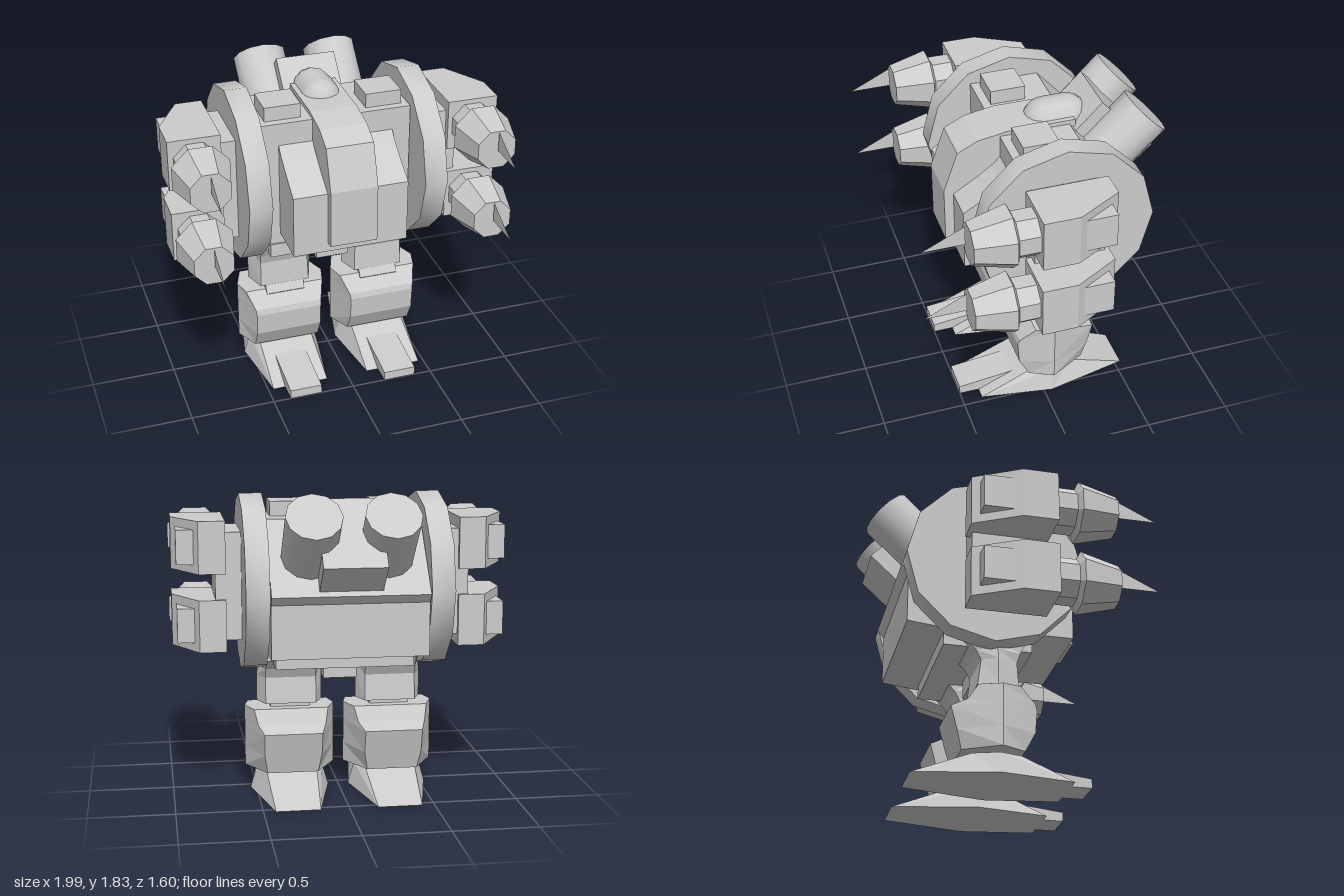
import * as THREE from 'three';
import { toCreasedNormals } from 'three/addons/utils/BufferGeometryUtils.js';

const flat = new THREE.MeshStandardMaterial({ color: 0xcccccc, flatShading: true });
const smooth = new THREE.MeshStandardMaterial({ color: 0xcccccc });
const thin = new THREE.MeshStandardMaterial({ color: 0xcccccc, flatShading: true, side: THREE.DoubleSide });

function add(parent, name, geometry, material = flat) {
  const mesh = new THREE.Mesh(geometry, material);
  mesh.name = name;
  parent.add(mesh);
  return mesh;
}

// Box given by its limits on each axis
function box(x0, x1, y0, y1, z0, z1) {
  return new THREE.BoxGeometry(x1 - x0, y1 - y0, z1 - z0)
    .translate((x0 + x1) / 2, (y0 + y1) / 2, (z0 + z1) / 2);
}

// Side profile of [z, y] points, extruded across x
function prism(profile, halfWidth, cx = 0) {
  const shape = new THREE.Shape(profile.map(([z, y]) => new THREE.Vector2(z, y)));
  return new THREE.ExtrudeGeometry(shape, { depth: halfWidth * 2, bevelEnabled: false })
    .rotateY(-Math.PI / 2).translate(cx + halfWidth, 0, 0);
}

// Stack of six-sided rings: [y, front z, front half width, mid z, mid half width, back z, back half width]
function loft(levels, cx) {
  const rings = levels.map(([y, zf, f, zm, m, zb, b]) =>
    [[f, zf], [m, zm], [b, zb], [-b, zb], [-m, zm], [-f, zf]].map(([x, z]) => [cx + x, y, z]));
  const out = [];
  const tri = (a, b, c) => out.push(...a, ...b, ...c);
  for (let k = 0; k + 1 < rings.length; k++) {
    for (let i = 0; i < 6; i++) {
      const j = (i + 1) % 6, lo = rings[k], up = rings[k + 1];
      tri(lo[i], lo[j], up[j]);
      tri(lo[i], up[j], up[i]);
    }
  }
  const bottom = rings[0], top = rings[rings.length - 1];
  for (let i = 1; i < 5; i++) {
    tri(top[0], top[i], top[i + 1]);
    tri(bottom[0], bottom[i + 1], bottom[i]);
  }
  const g = new THREE.BufferGeometry();
  g.setAttribute('position', new THREE.Float32BufferAttribute(out, 3));
  g.computeVertexNormals();
  return g;
}

function buildGun(y) {
  const gun = new THREE.Group();
  gun.name = 'armGun';
  // Housing with its rear outer corner cut off
  const plan = [[0.68, -0.175], [0.985, -0.175], [0.985, 0.03], [0.835, 0.295], [0.68, 0.295]];
  const shape = new THREE.Shape(plan.map(([x, z]) => new THREE.Vector2(x, z)));
  add(gun, 'gunHousing', new THREE.ExtrudeGeometry(shape, { depth: 0.304, bevelEnabled: false })
    .rotateX(-Math.PI / 2).translate(0, y - 0.152, 0));
  add(gun, 'housingBlock', box(0.78, 0.96, y - 0.1, y + 0.1, -0.25, -0.065));
  // Octagonal neck and tapered muzzle
  const k = 1 / Math.cos(Math.PI / 8);
  const profile = [[0, 0.16], [0.123, 0.16], [0.123, 0.295], [0.165, 0.315], [0.113, 0.54], [0, 0.54]]
    .map(([r, h]) => new THREE.Vector2(r * k, h));
  add(gun, 'gunMuzzle', new THREE.LatheGeometry(profile, 8)
    .rotateY(Math.PI / 8).rotateX(Math.PI / 2).translate(0.83, y, 0));
  // Flat blade in front of the muzzle
  const blade = new THREE.Shape([[0.8, y], [0.555, y + 0.117], [0.555, y]]
    .map(([z, h]) => new THREE.Vector2(z, h)));
  add(gun, 'muzzleBlade', new THREE.ShapeGeometry(blade).rotateY(-Math.PI / 2).translate(0.83, 0, 0), thin);
  return gun;
}

function buildLeg() {
  const leg = new THREE.Group();
  leg.name = 'leg';
  add(leg, 'thigh', loft([
    [0.545, 0.07, 0.15, -0.06, 0.195, -0.17, 0.15],
    [0.7, 0.06, 0.145, -0.06, 0.195, -0.15, 0.15],
    [0.76, 0.08, 0.15, -0.06, 0.19, -0.18, 0.15],
    [0.82, 0.11, 0.15, -0.06, 0.165, -0.24, 0.15],
  ], 0.298));
  add(leg, 'knee', prism([[0.05, 0.56], [0.09, 0.495], [0.06, 0.45], [-0.12, 0.45], [-0.12, 0.56]], 0.118, 0.298));
  add(leg, 'shin', loft([
    [0.145, 0.09, 0.2, -0.05, 0.268, -0.26, 0.15],
    [0.26, 0.15, 0.2, -0.05, 0.268, -0.29, 0.17],
    [0.395, 0.16, 0.2, -0.05, 0.268, -0.325, 0.17],
    [0.43, 0.15, 0.205, -0.05, 0.268, -0.235, 0.2],
    [0.515, 0.06, 0.24, -0.05, 0.268, -0.18, 0.22],
  ], 0.298));
  add(leg, 'ankle', box(0.2, 0.395, 0.1, 0.16, -0.18, 0.06));
  add(leg, 'foot', loft([
    [0, 0.38, 0.17, -0.05, 0.237, -0.54, 0.13],
    [0.13, 0.08, 0.165, -0.05, 0.2, -0.2, 0.15],
  ], 0.298));
  add(leg, 'toe', prism([[0.5, 0], [0.5, 0.055], [0.15, 0.095], [0.15, 0]], 0.097, 0.298));
  return leg;
}

function buildSide() {
  const side = new THREE.Group();
  side.name = 'side';
  // Twelve-sided shoulder disc and the mount for both guns
  add(side, 'shoulderDisc', toCreasedNormals(new THREE.CylinderGeometry(0.517, 0.517, 0.135, 12)
    .rotateY(Math.PI / 2).rotateZ(Math.PI / 2).rotateX(Math.PI / 2)
    .translate(0.5225, 1.273, -0.097), 0.6), smooth);
  add(side, 'gunMount', box(0.58, 0.74, 0.96, 1.585, -0.27, 0.14));
  side.add(buildGun(1.5), buildGun(1.045), buildLeg());
  add(side, 'roofHatch', box(0.195, 0.41, 1.64, 1.74, -0.11, 0.1));
  // Launcher tube tilted up and back
  add(side, 'launcherTube', toCreasedNormals(new THREE.CylinderGeometry(0.16, 0.16, 0.36, 12)
    .rotateX(-Math.PI / 4).translate(0.22, 1.588, -0.563), 0.6), smooth);
  return side;
}

export function createModel() {
  const model = new THREE.Group();
  model.name = 'walker';

  // Torso
  add(model, 'torso', prism([[0.15, 0.875], [0.15, 1.655], [-0.265, 1.655], [-0.62, 1.26],
    [-0.58, 1.21], [-0.58, 0.9], [-0.35, 0.875]], 0.45));
  add(model, 'chest', prism([[0.1, 0.945], [0.43, 0.945], [0.43, 1.32], [0.3, 1.4], [0.2, 1.47], [0.1, 1.57]], 0.342));
  add(model, 'chestStrip', prism([[0.1, 1.005], [0.485, 1.005], [0.485, 1.35], [0.4, 1.59],
    [0.28, 1.65], [0.1, 1.68], [-0.3, 1.68], [-0.3, 1.6], [0.1, 1.5]], 0.14));

  // Head dome
  add(model, 'headDome', new THREE.CapsuleGeometry(0.122, 0.14, 6, 12)
    .rotateX(Math.PI / 2).translate(0, 1.636, -0.225), smooth);

  // Tilted block between the launcher tubes
  add(model, 'launcherBlock', prism([[-0.445, 1.787], [-0.765, 1.44], [-0.58, 1.27], [-0.26, 1.6]], 0.18));

  // Pelvis
  add(model, 'pelvis', box(-0.405, 0.405, 0.795, 0.88, -0.36, 0.16));
  add(model, 'hipBlock', box(-0.1, 0.1, 0.685, 0.8, -0.14, 0.08));

  // Shoulders, guns, legs and launchers on both sides
  for (const s of [1, -1]) {
    const side = buildSide();
    side.name = s > 0 ? 'leftSide' : 'rightSide';
    side.scale.x = s;
    model.add(side);
  }
  return model;
}
